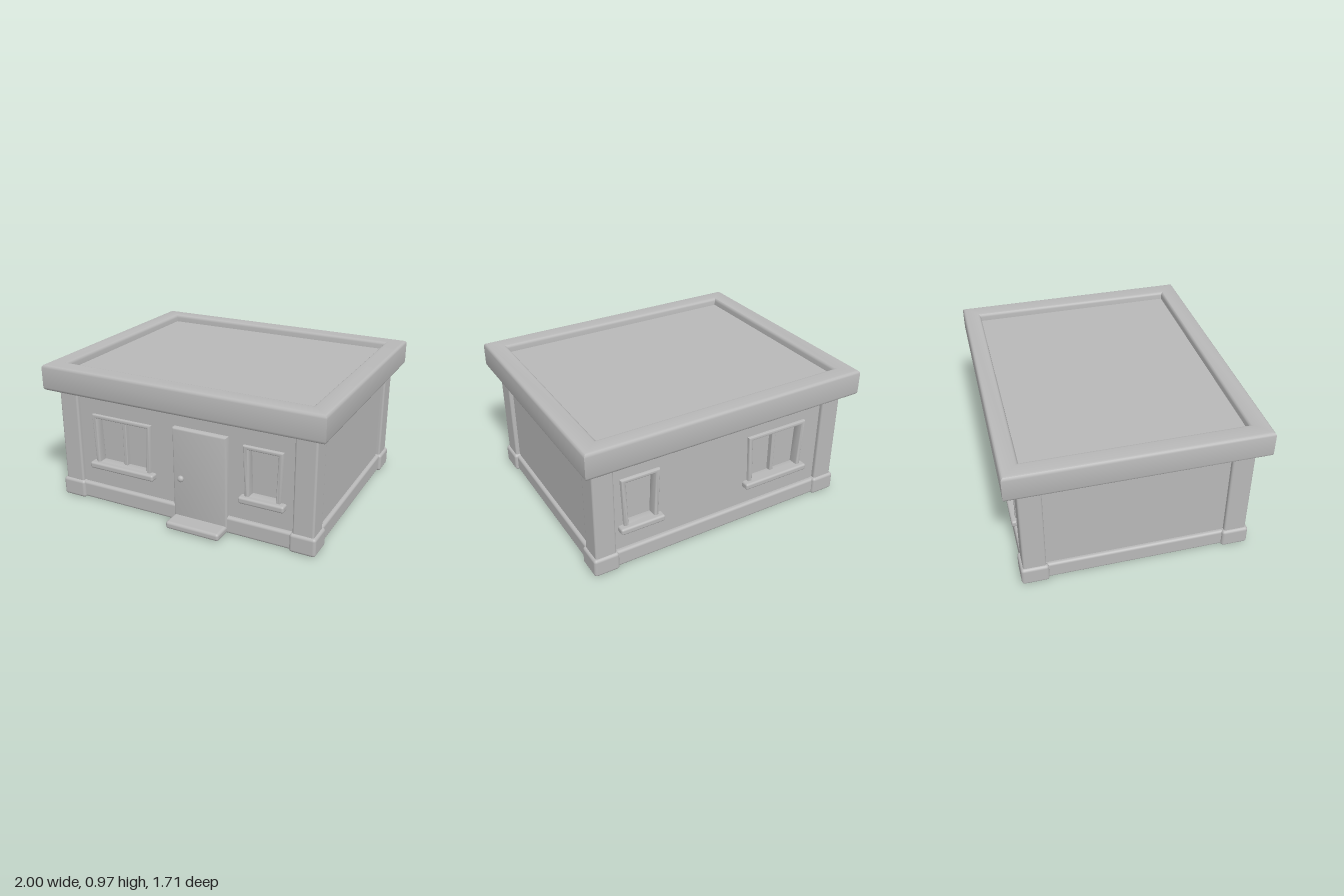
import * as THREE from 'three';
import { toCreasedNormals } from 'three/addons/utils/BufferGeometryUtils.js';
import { RoundedBoxGeometry } from 'three/addons/geometries/RoundedBoxGeometry.js';

const clay = new THREE.MeshStandardMaterial({ color: 0xb8b8b8 });
clay.name = 'clay grey';

function add(parent, name, geometry) {
  const mesh = new THREE.Mesh(geometry, clay);
  mesh.name = name;
  parent.add(mesh);
  return mesh;
}

// Box given by its minimum and maximum on each axis, with rounded edges
function block(parent, name, [x0, x1], [y0, y1], [z0, z1], r = 0.012) {
  const size = [x1 - x0, y1 - y0, z1 - z0];
  const geo = r ? new RoundedBoxGeometry(...size, 3, r) : new THREE.BoxGeometry(...size);
  geo.translate((x0 + x1) / 2, (y0 + y1) / 2, (z0 + z1) / 2);
  return add(parent, name, geo);
}

// Four corners of an upright panel, narrowed at the foot by "taper"
function corners([x0, x1], [y0, y1], taper = 0) {
  return [[x0 + taper, y0], [x1 - taper, y0], [x1, y1], [x0, y1]].map((p) => new THREE.Vector2(...p));
}

// Panel with openings, from z0 to z1; "bevel" rounds its edges inside the outline
function pierced(outer, holes, z0, z1, bevel = 0) {
  const shape = new THREE.Shape(outer);
  holes.forEach((h) => shape.holes.push(new THREE.Path(h)));
  const geo = new THREE.ExtrudeGeometry(shape, {
    depth: z1 - z0 - 2 * bevel, bevelEnabled: bevel > 0, bevelSize: bevel,
    bevelThickness: bevel, bevelOffset: -bevel, bevelSegments: 3,
  });
  geo.translate(0, 0, z0 + bevel);
  return toCreasedNormals(geo, 0.8);
}

// Window frame, sill and mullion, centred on x
function addWindow(parent, x, width, double) {
  const w = width / 2;
  const win = new THREE.Group();
  win.name = double ? 'doubleWindow' : 'singleWindow';
  win.position.x = x;
  parent.add(win);
  add(win, 'windowFrame', pierced(
    corners([-w, w], [0.28, 0.64], 0.015),
    [corners([-w + 0.033, w - 0.033], [0.3, 0.615], 0.012)], -0.08, -0.008, 0.009));
  block(win, 'windowSill', [-w - 0.02, w + 0.02], [0.255, 0.3], [-0.06, 0.022], 0.014);
  if (double) block(win, 'mullion', [-0.014, 0.014], [0.29, 0.63], [-0.09, -0.045], 0.006);
}

// A long wall in its own frame, z = 0 being the face of the corner pillars
function addWall(parent, name, windows, door) {
  const wall = new THREE.Group();
  wall.name = name;
  parent.add(wall);
  const holes = windows.map(([x, w]) => corners([x - w / 2 + 0.03, x + w / 2 - 0.03], [0.29, 0.62], 0.012));
  if (door) holes.push(corners([0, 0.295], [0.03, 0.63]));
  add(wall, 'wallPanel', pierced(corners([-0.8, 0.8], [0.01, 0.8]), holes, -0.085, -0.03));
  windows.forEach((w) => addWindow(wall, ...w));
  // Skirting, broken at the door
  const runs = door ? [[-0.8, -0.03], [0.32, 0.8]] : [[-0.8, 0.8]];
  runs.forEach((run) => block(wall, 'skirting', run, [0.005, 0.122], [-0.08, -0.002], 0.018));
  return wall;
}

export function createModel() {
  const house = new THREE.Group();
  house.name = 'house';

  // Body: its ends are the side walls, its faces the window panes
  block(house, 'body', [-0.9, 0.9], [0.01, 0.85], [-0.69, 0.65], 0);

  // Front and back walls
  const front = addWall(house, 'frontWall', [[-0.45, 0.46, true], [0.577, 0.27, false]], true);
  front.position.z = 0.73;
  const back = addWall(house, 'backWall', [[0.425, 0.46, true], [-0.6, 0.27, false]], false);
  back.position.z = -0.77;
  back.rotation.y = Math.PI;

  // Corner pillars on thicker feet, with side skirting between them
  for (const s of [-1, 1]) {
    const span = (a, b) => (s > 0 ? [a, b] : [-b, -a]);
    for (const [z0, z1, f] of [[0.58, 0.73, 1], [-0.77, -0.62, -1]]) {
      block(house, 'cornerPillar', span(0.785, 0.928), [0.05, 0.83], [z0, z1], 0.014);
      const footZ = f > 0 ? [z0 - 0.015, z1 + 0.016] : [z0 - 0.016, z1 + 0.015];
      block(house, 'pillarFoot', span(0.77, 0.945), [0, 0.128], footZ, 0.02);
    }
    block(house, 'sideSkirting', span(0.8, 0.925), [0.005, 0.122], [-0.66, 0.62], 0.018);
  }

  // Doorway: surround, leaf with raised rim, knob and step
  const door = new THREE.Group();
  door.name = 'door';
  door.position.z = 0.73;
  house.add(door);
  add(door, 'doorFrame', pierced(corners([-0.047, 0.338], [0.02, 0.672]),
    [corners([0.003, 0.292], [0.04, 0.628])], -0.08, 0.008, 0.012));
  add(door, 'doorRim', pierced(corners([-0.005, 0.3], [0.03, 0.64]),
    [corners([0.035, 0.262], [0.075, 0.582])], -0.09, -0.05, 0.006));
  const stem = new THREE.CylinderGeometry(0.011, 0.011, 0.09, 16);
  stem.rotateX(Math.PI / 2).translate(0.02, 0.335, -0.015);
  add(door, 'knobStem', stem);
  const knob = new THREE.SphereGeometry(0.022, 20, 14);
  knob.scale(1, 1, 0.8).translate(0.02, 0.335, 0.027);
  add(door, 'doorKnob', knob);
  block(house, 'doorstep', [-0.047, 0.338], [0.006, 0.057], [0.64, 0.855], 0.018);

  // Flat roof: rounded parapet around a sunken deck
  const parapet = pierced(corners([-1, 1], [-0.805, 0.855]),
    [corners([-0.875, 0.87], [-0.68, 0.735])], 0.785, 0.965, 0.022);
  parapet.rotateX(-Math.PI / 2);
  add(house, 'roofParapet', parapet);
  block(house, 'roofDeck', [-0.91, 0.91], [0.8, 0.912], [-0.77, 0.72], 0);

  return house;
}
